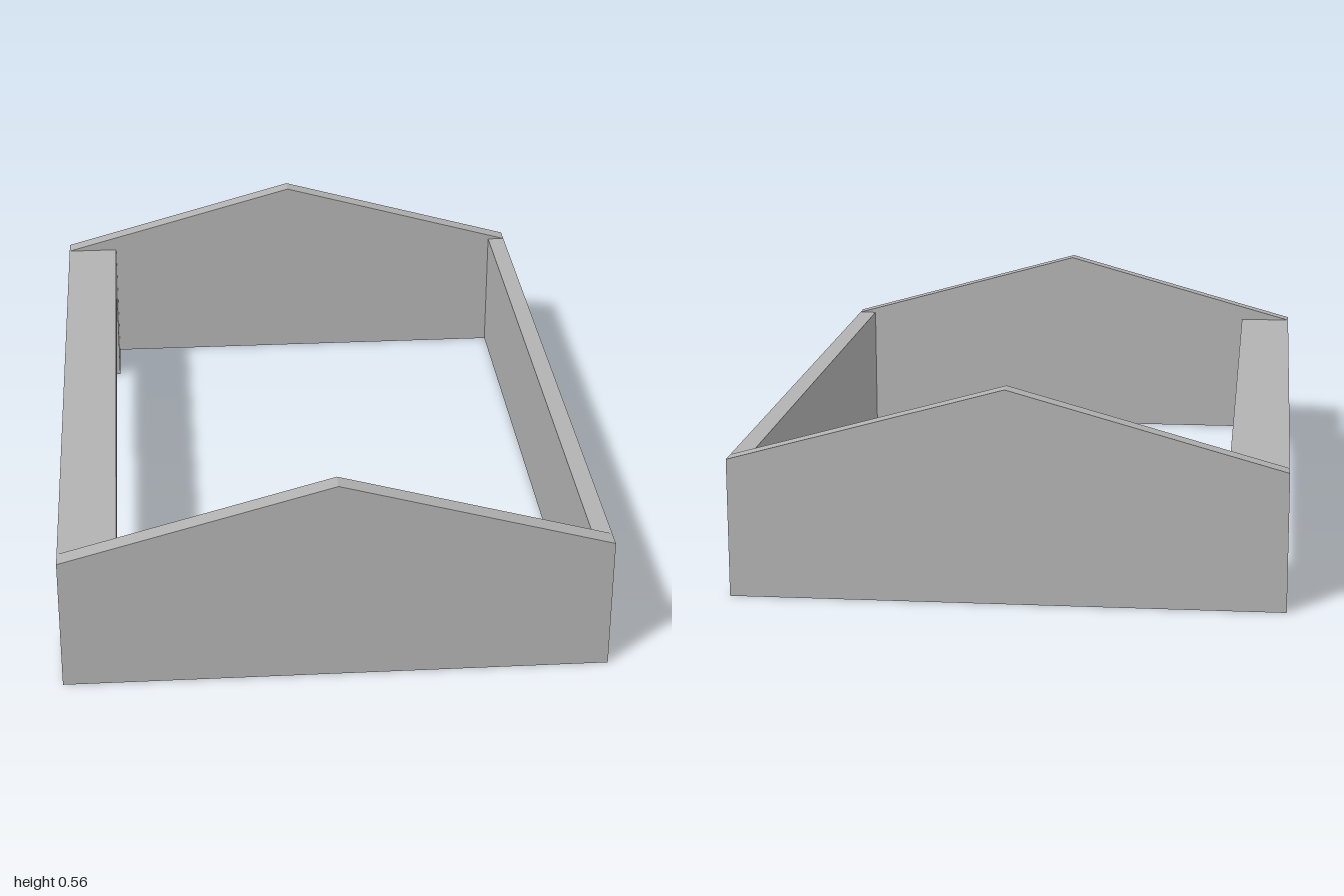
import * as THREE from 'three';

const HALF_W = 0.707, EAVE = 0.36, PEAK = 0.555, T = 0.05;
const SILL = 0.15, POST = 0.18;

export function createModel() {
  const group = new THREE.Group();
  const grey = new THREE.MeshStandardMaterial({ color: 0xb2b2b2 });
  grey.name = 'plain grey';

  const add = (name, geometry) => {
    const mesh = new THREE.Mesh(geometry, grey);
    mesh.name = name;
    group.add(mesh);
    return mesh;
  };

  // Box given by its minimum and maximum corners
  const block = (name, [x0, y0, z0], [x1, y1, z1]) =>
    add(name, new THREE.BoxGeometry(x1 - x0, y1 - y0, z1 - z0))
      .position.set((x0 + x1) / 2, (y0 + y1) / 2, (z0 + z1) / 2);

  // Gabled end walls
  const gable = new THREE.Shape([
    [-HALF_W, 0], [HALF_W, 0], [HALF_W, EAVE], [0, PEAK], [-HALF_W, EAVE],
  ].map(([x, y]) => new THREE.Vector2(x, y)));
  const gableGeometry = new THREE.ExtrudeGeometry(gable, { depth: T, bevelEnabled: false });
  add('frontGable', gableGeometry).position.z = 1 - T;
  add('backGable', gableGeometry).position.z = -1;

  // Solid wall along the left side
  const zIn = 1 - T;
  block('sideWall', [HALF_W - T, 0, -zIn], [HALF_W, EAVE, zIn]);

  // Open right side: a flat beam resting on two corner posts
  const xIn = -HALF_W + SILL, beamBottom = EAVE - T;
  block('topBeam', [-HALF_W, beamBottom, -zIn], [xIn, EAVE, zIn]);
  block('frontPost', [-HALF_W, 0, zIn - POST], [xIn, beamBottom, zIn]);
  block('backPost', [-HALF_W, 0, -zIn], [xIn, beamBottom, -zIn + POST]);

  return group;
}
